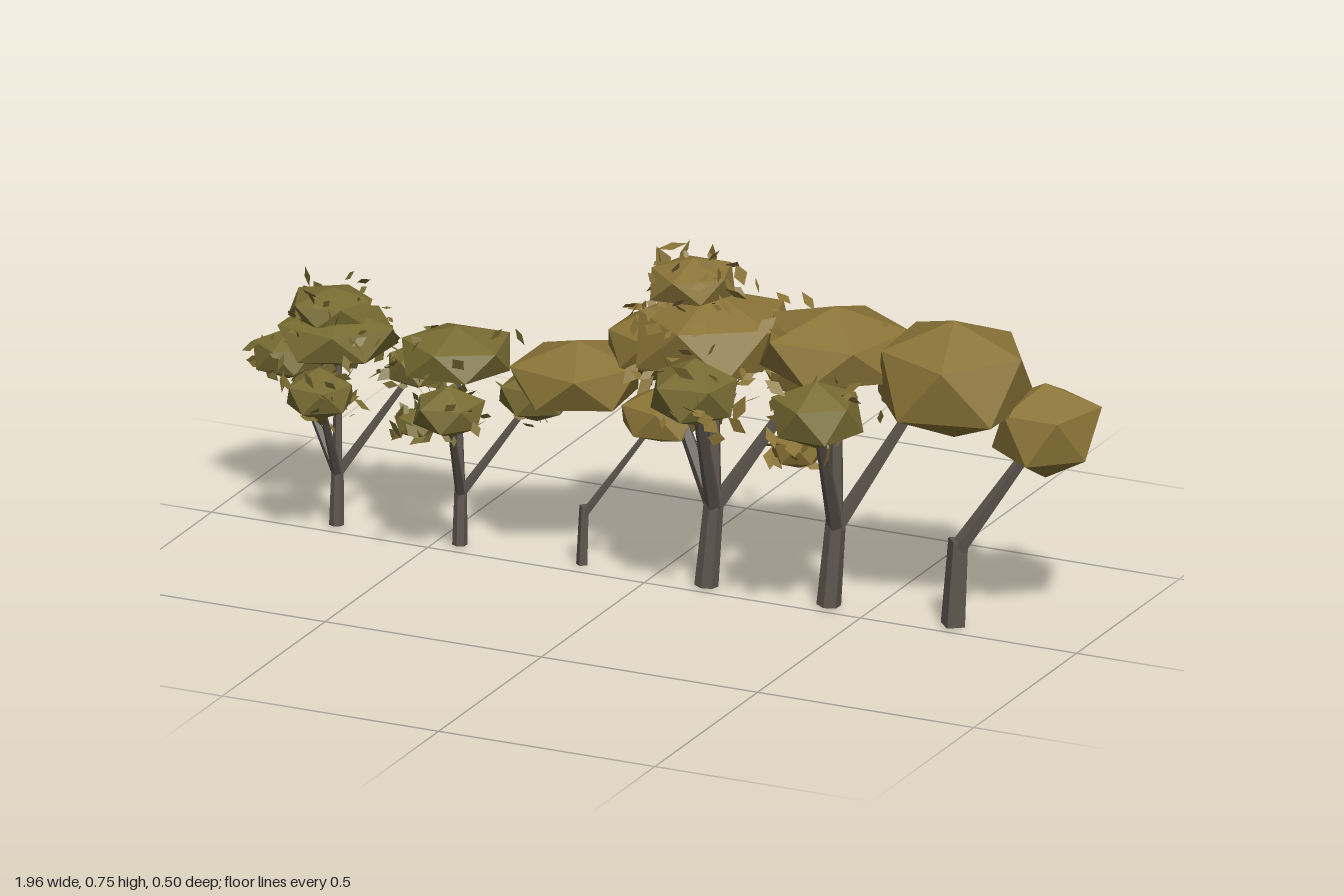
import * as THREE from 'three';

const mat = (name, color) => {
  const m = new THREE.MeshStandardMaterial({ color, flatShading: true, side: THREE.DoubleSide });
  m.name = name;
  return m;
};

// Small seeded generator for leaf scatter and crown irregularity
let seed = 7;
const rnd = () => (seed = (seed * 16807) % 2147483647) / 2147483647;
const spread = (a) => (rnd() * 2 - 1) * a;
const V = (x, y, z) => new THREE.Vector3(x, y, z);

// Tapered straight limb between two points
function limb(name, a, b, r0, r1, sides, material) {
  const dir = b.clone().sub(a);
  const m = new THREE.Mesh(new THREE.CylinderGeometry(r1, r0, dir.length(), sides), material);
  m.position.copy(a).add(b).multiplyScalar(0.5);
  m.quaternion.setFromUnitVectors(V(0, 1, 0), dir.normalize());
  m.name = name;
  return m;
}

// Faceted crown: an icosahedron standing on its point, squashed and uneven
function crown([x, y, z, r, h], material) {
  const geo = new THREE.IcosahedronGeometry(1, 0);
  geo.rotateZ(-0.5536).rotateY(rnd() * 6);
  const p = geo.attributes.position, shifts = {};
  for (let i = 0; i < p.count; i++) {
    const key = [p.getX(i), p.getY(i), p.getZ(i)].map((v) => Math.round(v * 50)).join();
    shifts[key] ??= [1.13 + spread(0.1), 1 + spread(0.08)];
    const [s, t] = shifts[key];
    p.setXYZ(i, p.getX(i) * s * r, p.getY(i) * t * h, p.getZ(i) * s * r);
  }
  geo.computeVertexNormals();
  const m = new THREE.Mesh(geo, material);
  m.position.set(x, y, z);
  m.name = 'crown';
  return m;
}

// Loose four-cornered leaves scattered around the surface of the crowns
function leaves(crowns, count, size, material) {
  const pos = [];
  for (const [x, y, z, r, h] of crowns) {
    for (let i = 0; i < count; i++) {
      const d = V(spread(1), spread(1), spread(1)).normalize();
      const k = 0.88 + 0.5 * rnd() ** 1.5;
      const c = V(x + d.x * r * k, y + d.y * h * k, z + d.z * r * k);
      const u = V(spread(1), spread(1), spread(1)).normalize();
      const w = V(spread(1), spread(1), spread(1)).cross(u).normalize();
      const s = size * (0.5 + rnd() * 0.9);
      const at = (a, b) => c.clone().addScaledVector(u, a * s).addScaledVector(w, b * s);
      const q = [at(-1, -0.2), at(0.1, -0.55), at(1, 0.1), at(-0.2, 0.5)];
      for (const j of [0, 1, 2, 0, 2, 3]) pos.push(...q[j].toArray());
    }
  }
  const geo = new THREE.BufferGeometry();
  geo.setAttribute('position', new THREE.Float32BufferAttribute(pos, 3));
  geo.computeVertexNormals();
  const m = new THREE.Mesh(geo, material);
  m.name = 'looseLeaves';
  return m;
}

// Crowns are [x, y, z, radius, half height]; the first is the main one
const TREES = [
  { name: 'smallFullTree', x: -0.73, top: -0.73, fork: 0.13, r: 0.016, sides: 7, leaf: 34, size: 0.018, olive: true,
    crowns: [[-0.73, 0.42, -0.05, 0.12, 0.066], [-0.745, 0.478, -0.05, 0.085, 0.045], [-0.87, 0.34, -0.10, 0.075, 0.055],
      [-0.70, 0.345, 0.11, 0.072, 0.055], [-0.58, 0.35, -0.12, 0.065, 0.052]] },
  { name: 'smallMediumTree', x: -0.445, top: -0.445, fork: 0.13, r: 0.016, sides: 6, leaf: 16, size: 0.02, olive: true,
    crowns: [[-0.455, 0.42, -0.045, 0.115, 0.064], [-0.40, 0.35, 0.11, 0.075, 0.055], [-0.30, 0.335, -0.11, 0.075, 0.058],
      [-0.52, 0.275, 0.01, 0.045, 0.032]] },
  { name: 'smallSimpleTree', x: -0.163, top: -0.16, fork: 0.13, r: 0.013, sides: 4, leaf: 0, simple: true,
    crowns: [[-0.17, 0.42, -0.035, 0.138, 0.082], [-0.01, 0.335, -0.10, 0.083, 0.062]] },
  { name: 'largeFullTree', x: 0.125, top: 0.14, fork: 0.19, r: 0.026, sides: 7, leaf: 34, size: 0.023,
    crowns: [[0.14, 0.56, -0.04, 0.165, 0.105], [0.10, 0.675, -0.03, 0.095, 0.055], [-0.03, 0.49, -0.11, 0.10, 0.075],
      [0.18, 0.49, 0.13, 0.095, 0.075], [0.33, 0.48, -0.13, 0.09, 0.07]] },
  { name: 'largeMediumTree', x: 0.408, top: 0.422, fork: 0.19, r: 0.026, sides: 6, leaf: 14, size: 0.026,
    crowns: [[0.425, 0.575, -0.04, 0.16, 0.09], [0.465, 0.49, 0.14, 0.092, 0.075], [0.59, 0.48, -0.13, 0.10, 0.08],
      [0.37, 0.365, 0.03, 0.055, 0.045]] },
  { name: 'largeSimpleTree', x: 0.695, top: 0.705, fork: 0.19, r: 0.028, sides: 4, leaf: 0, simple: true,
    crowns: [[0.70, 0.555, -0.035, 0.165, 0.135], [0.885, 0.45, -0.09, 0.11, 0.108]] },
];

export function createModel() {
  const bark = mat('bark', 0x5f564e);
  const foliage = mat('foliage', 0x8a7437);
  const oliveFoliage = mat('oliveFoliage', 0x786c33);
  const model = new THREE.Group();
  model.name = 'treeRow';

  for (const t of TREES) {
    const tree = new THREE.Group();
    tree.name = t.name;
    const green = t.olive ? oliveFoliage : foliage;

    // Trunk, and one branch to each side crown
    const fork = V(t.top, t.fork, -0.045);
    tree.add(limb('trunk', V(t.x, 0, -0.04), fork, t.r, t.r * 0.82, t.sides, bark));
    t.crowns.forEach((c, i) => {
      const end = V(c[0], c[1], c[2]);
      const main = i === 0;
      if (main ? !t.simple : c[1] < t.crowns[0][1] && c[4] > 0.046)
        tree.add(limb('branch', fork.clone().add(V(0, -0.02, 0)), end, t.r * 0.7, t.r * (main ? 0.5 : 0.38), 5, bark));
    });

    // Foliage, the crowns at the front being greener
    t.crowns.forEach((c) => tree.add(crown(c, c[2] > 0.1 ? oliveFoliage : green)));
    if (t.leaf) tree.add(leaves(t.crowns, t.leaf, t.size, green));
    model.add(tree);
  }
  return model;
}
